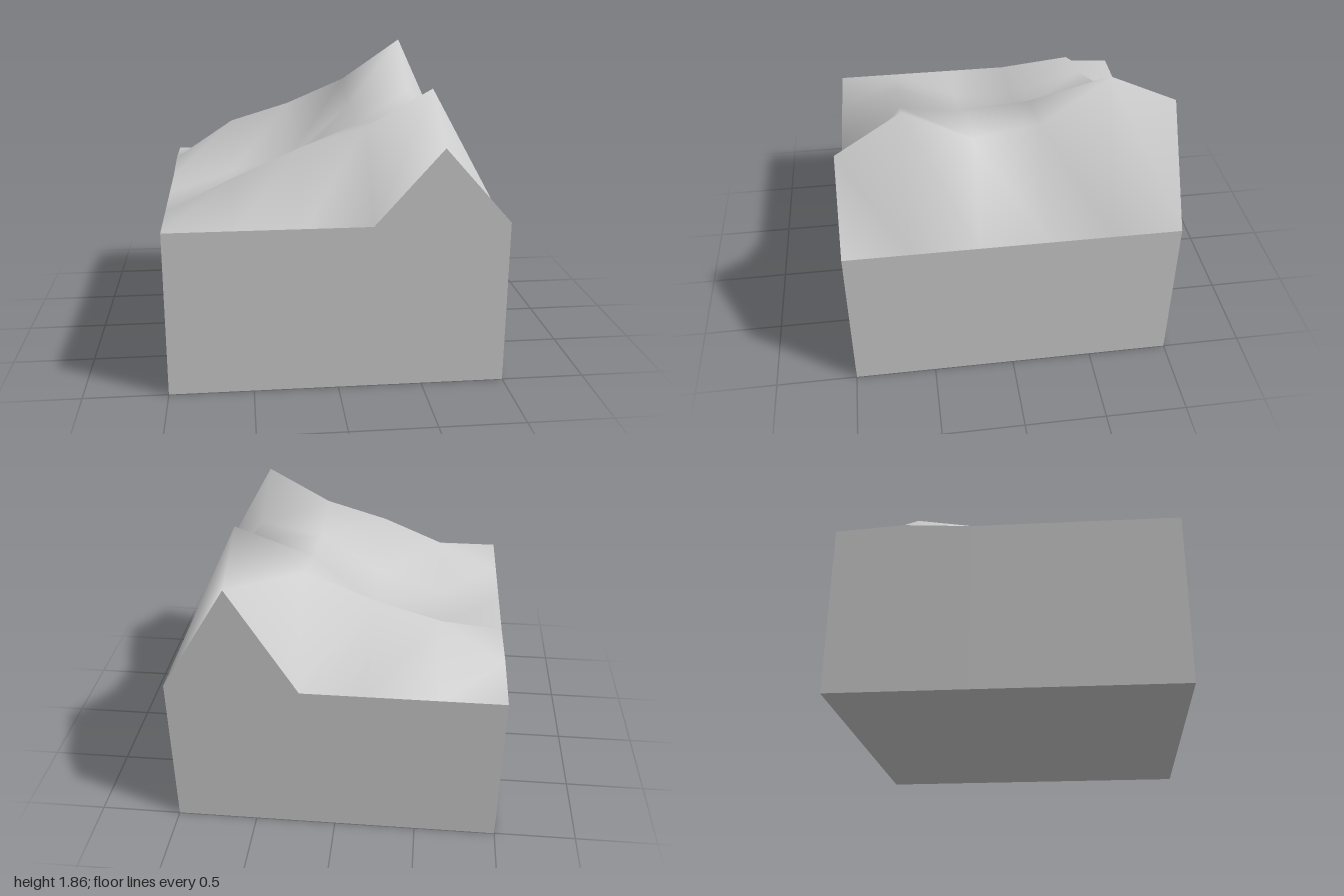
import * as THREE from 'three';

// Terrain heights: rows run back (z = -1) to front (z = 1), columns x = -1 to 1
const HEIGHTS = [
  [1, 1, 1, 1, 1.665, 1],
  [1.025, 1.29, 1.41, 1.58, 1.855, 1],
  [1, 1.02, 1.12, 1.47, 1.57, 1],
  [1, 1.03, 1.17, 1.42, 1.505, 1],
  [1, 1.195, 1.37, 1.49, 1.715, 1],
  [1, 1, 1, 1, 1.45, 1],
];
const SIZE = 2;
const CELLS = HEIGHTS.length - 1;

export function createModel() {
  const group = new THREE.Group();
  const material = new THREE.MeshStandardMaterial({ color: 0xcccccc });

  const add = (name, geometry) => {
    const mesh = new THREE.Mesh(geometry, material);
    mesh.name = name;
    group.add(mesh);
  };

  // Smooth terrain: a grid lifted by the height table
  const terrain = new THREE.PlaneGeometry(SIZE, SIZE, CELLS, CELLS).rotateX(-Math.PI / 2);
  HEIGHTS.flat().forEach((h, i) => terrain.attributes.position.setY(i, h));
  terrain.computeVertexNormals();
  add('terrain', terrain);

  // Flat walls: the upper edge of each follows the terrain's border
  const addWall = (name, angle, profile) => {
    const wall = new THREE.PlaneGeometry(SIZE, 1, CELLS, 1);
    profile.forEach((h, i) => {
      wall.attributes.position.setY(i, h);
      wall.attributes.position.setY(i + profile.length, 0);
    });
    add(name, wall.translate(0, 0, SIZE / 2).rotateY(angle));
  };
  addWall('frontWall', 0, HEIGHTS[CELLS]);
  addWall('leftWall', Math.PI / 2, HEIGHTS.map((row) => row[CELLS]).reverse());
  addWall('backWall', Math.PI, [...HEIGHTS[0]].reverse());
  addWall('rightWall', -Math.PI / 2, HEIGHTS.map((row) => row[0]));

  // Underside
  add('base', new THREE.PlaneGeometry(SIZE, SIZE).rotateX(Math.PI / 2));

  return group;
}
